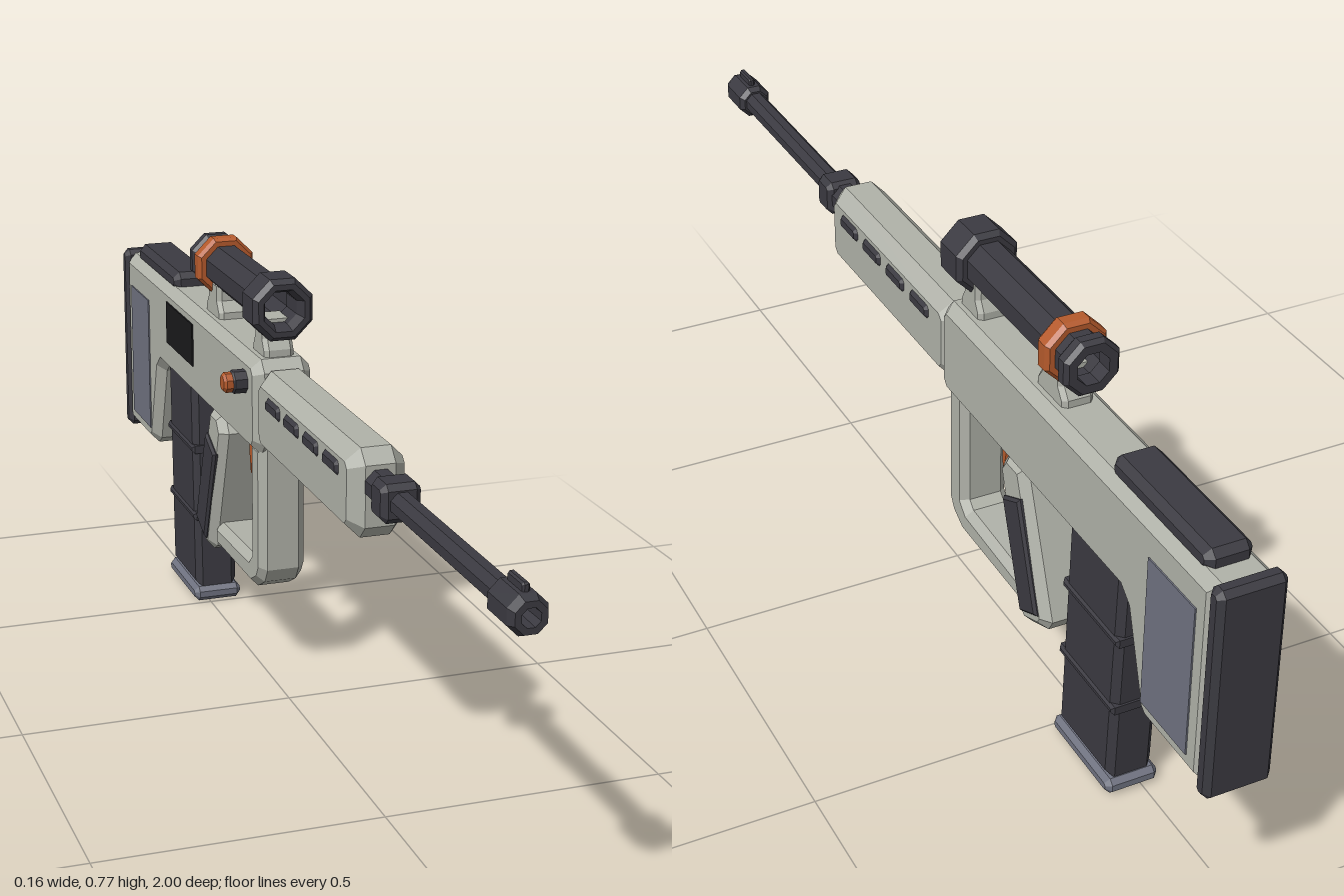
import * as THREE from 'three';

const mat = (name, color) => {
  const m = new THREE.MeshStandardMaterial({ color });
  m.name = name;
  return m;
};

export function createModel() {
  const shell = mat('pale shell', 0xb0b2a9);
  const dark = mat('dark polymer', 0x3b3a41);
  const grey = mat('blue grey', 0x6f7280);
  const orange = mat('orange accent', 0xb55a2c);
  const black = mat('port black', 0x19191b);

  const root = new THREE.Group();
  root.name = 'model';
  const g = new THREE.Group();
  g.name = 'rifle';
  g.position.x = 0.018; // the side knob sticks out, so the body sits off centre
  root.add(g);

  const add = (name, geo, material, parent = g) => {
    const flat = geo.index ? geo.toNonIndexed() : geo;
    flat.computeVertexNormals();
    const m = new THREE.Mesh(flat, material);
    m.name = name;
    parent.add(m);
    return m;
  };

  // Side outline of [z, y] points, extruded across x with bevelled edges
  const prism = (name, pts, half, bevel, material, x = 0) => {
    const shape = new THREE.Shape(pts.map(p => new THREE.Vector2(p[0], p[1])));
    const geo = new THREE.ExtrudeGeometry(shape, {
      depth: 2 * (half - bevel), bevelEnabled: bevel > 0, bevelSegments: 1,
      bevelThickness: bevel, bevelSize: bevel, bevelOffset: -bevel,
    });
    geo.translate(0, 0, -(half - bevel));
    geo.rotateY(-Math.PI / 2);
    geo.translate(x, 0, 0);
    return add(name, geo, material);
  };

  // Box with every edge chamfered
  const block = (name, z0, z1, y0, y1, half, c, material, x = 0) => prism(name, [
    [z0 + c, y0], [z1 - c, y0], [z1, y0 + c], [z1, y1 - c],
    [z1 - c, y1], [z0 + c, y1], [z0, y1 - c], [z0, y0 + c],
  ], half, c, material, x);

  // Turned part along z from [radius, z] points, z rising; flat side on top
  const turned = (name, pts, y, material, sides = 8) => {
    const geo = new THREE.LatheGeometry(
      pts.map(p => new THREE.Vector2(p[0], p[1])), sides, Math.PI / sides);
    geo.rotateX(Math.PI / 2);
    geo.translate(0, y, 0);
    return add(name, geo, material);
  };

  // Receiver and stock
  prism('receiverAndStock', [
    [-0.08, 0.465], [-0.08, 0.6], [-0.1, 0.622], [-0.975, 0.622], [-0.975, 0.25],
    [-0.805, 0.25], [-0.785, 0.265], [-0.735, 0.425], [-0.715, 0.442], [-0.1, 0.442],
  ], 0.055, 0.018, shell);
  block('buttPad', -1, -0.965, 0.24, 0.628, 0.059, 0.01, dark);
  block('cheekRest', -0.935, -0.65, 0.61, 0.65, 0.04, 0.012, dark);
  prism('stockPanels', [[-0.935, 0.285], [-0.8, 0.285], [-0.8, 0.56], [-0.935, 0.56]],
    0.0575, 0, grey);
  prism('ejectionPort', [[-0.66, 0.508], [-0.475, 0.508], [-0.475, 0.592], [-0.66, 0.592]],
    0.004, 0, black, -0.054);

  // Handguard with vents on both sides
  block('handguard', -0.1, 0.41, 0.452, 0.606, 0.05, 0.024, shell);
  for (let i = 0; i < 4; i++) {
    const z = 0.313 - i * 0.101;
    block('vent', z - 0.036, z + 0.036, 0.548, 0.574, 0.056, 0.006, dark);
  }

  // Barrel, collar and muzzle
  const barrelY = 0.547;
  turned('barrel', [[0.022, 0.38], [0.022, 0.93]], barrelY, dark);
  turned('barrelSocket', [[0.029, 0.38], [0.029, 0.455]], barrelY, dark);
  block('barrelCollar', 0.448, 0.508, barrelY - 0.033, barrelY + 0.033, 0.034, 0.01, dark);
  turned('muzzle', [
    [0.018, 0.908], [0.026, 0.908], [0.034, 0.918], [0.034, 0.985], [0.027, 1],
    [0.016, 1], [0.014, 0.95], [0, 0.95],
  ], barrelY, dark);
  block('frontSight', 0.925, 0.98, 0.57, 0.592, 0.006, 0.003, dark);

  // Front guard loop
  prism('guardLoop', [
    [-0.088, 0.46], [-0.15, 0.46], [-0.15, 0.24], [-0.165, 0.226], [-0.38, 0.218],
    [-0.38, 0.168], [-0.145, 0.17], [-0.105, 0.192], [-0.088, 0.22],
  ], 0.044, 0.014, shell);

  // Slanted grip with inset panels
  prism('grip', [
    [-0.3, 0.42], [-0.325, 0.455], [-0.382, 0.455], [-0.478, 0.2],
    [-0.465, 0.178], [-0.405, 0.153], [-0.385, 0.165],
  ], 0.053, 0.016, shell);
  prism('gripPanels', [[-0.33, 0.372], [-0.388, 0.4], [-0.458, 0.206], [-0.4, 0.178]],
    0.06, 0.005, dark);
  prism('trigger', [
    [-0.222, 0.45], [-0.258, 0.45], [-0.256, 0.4], [-0.247, 0.357], [-0.238, 0.357], [-0.234, 0.4],
  ], 0.012, 0.003, orange);

  // Magazine, leaning slightly forward, with ribs and a base plate
  const lean = y => (0.44 - y) * 0.038;
  const magSlice = (name, y0, y1, grow, bevel) => prism(name, [
    [-0.705 + lean(y0) - grow, y0], [-0.53 + lean(y0) + grow, y0],
    [-0.53 + lean(y1) + grow, y1], [-0.705 + lean(y1) - grow, y1],
  ], 0.042 + grow, bevel, dark);
  magSlice('magazine', 0.028, 0.46, 0, 0.012);
  magSlice('magazineRib', 0.312, 0.328, 0.004, 0.005);
  magSlice('magazineRib', 0.172, 0.188, 0.004, 0.005);
  block('magazineBase', -0.7, -0.505, 0, 0.03, 0.048, 0.009, grey);

  // Hollow scope
  const scopeY = 0.713;
  turned('scopeTube', [
    [0.034, -0.5], [0.043, -0.5], [0.043, -0.13], [0.034, -0.13], [0.034, -0.5],
  ], scopeY, dark);
  turned('scopeFrontBell', [
    [0.032, -0.157], [0.052, -0.157], [0.061, -0.148], [0.061, -0.09], [0.052, -0.079],
    [0.041, -0.079], [0.032, -0.1], [0.032, -0.157],
  ], scopeY, dark);
  turned('scopeEyepiece', [
    [0.03, -0.519], [0.046, -0.519], [0.053, -0.511], [0.053, -0.495], [0.046, -0.487],
    [0.03, -0.487], [0.03, -0.519],
  ], scopeY, dark);
  turned('scopeRing', [
    [0.042, -0.467], [0.053, -0.467], [0.059, -0.459], [0.059, -0.438], [0.053, -0.43],
    [0.042, -0.43], [0.042, -0.467],
  ], scopeY, orange);

  // Scope mounts, flared at the foot
  for (const [z, w] of [[-0.143, 0.038], [-0.43, 0.048]]) {
    prism('scopeMount', [
      [z - w, 0.61], [z + w, 0.61], [z + w, 0.635], [z + w * 0.7, 0.655],
      [z + w * 0.7, 0.69], [z - w * 0.7, 0.69], [z - w * 0.7, 0.655], [z - w, 0.635],
    ], 0.028, 0.008, shell);
  }
  block('ringClamp', -0.462, -0.435, 0.655, 0.7, 0.013, 0.004, orange);

  // Side knob on the model's right
  const knob = (name, r, x0, x1, c, material) => {
    const profile = [[0, x0], [r, x0], [r, x1 - c], [r - c, x1], [0, x1]];
    const geo = new THREE.LatheGeometry(
      profile.map(p => new THREE.Vector2(p[0], p[1])), 8, Math.PI / 8);
    geo.rotateZ(Math.PI / 2);
    geo.translate(0, 0.572, -0.143);
    add(name, geo, material);
  };
  knob('knobCollar', 0.022, 0.045, 0.083, 0.005, dark);
  knob('knobCap', 0.019, 0.08, 0.098, 0.005, orange);

  return root;
}
